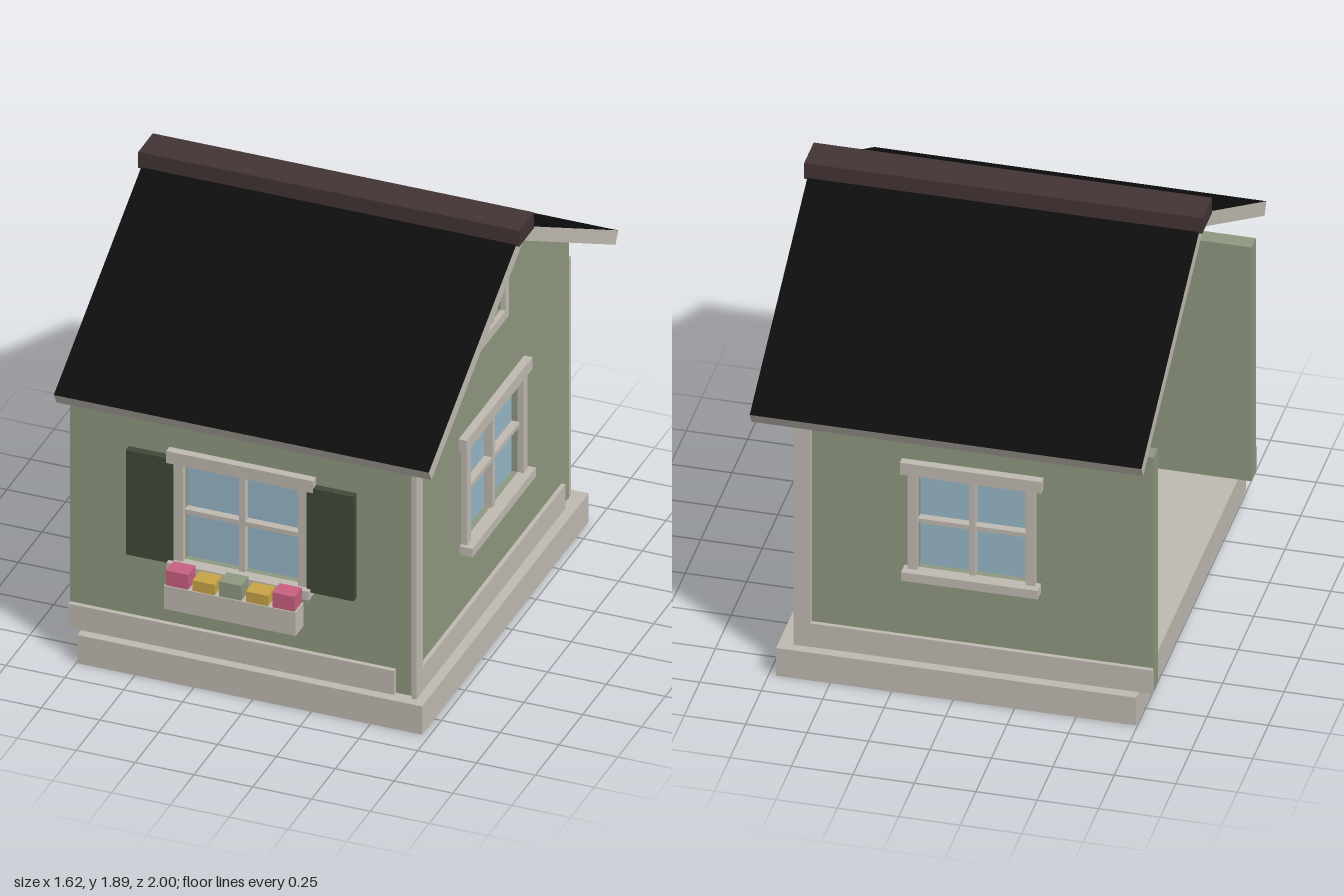
import * as THREE from 'three';

const mat = (name, color) => {
  const m = new THREE.MeshStandardMaterial({ color });
  m.name = name;
  return m;
};

export function createModel() {
  const wall = mat('sage wall', 0x8e9880);
  const trim = mat('cream trim', 0xc0bab1);
  const black = mat('black roofing', 0x0d0d0d);
  const brown = mat('brown ridge', 0x433434);
  const glass = mat('blue glass', 0x98b7c8);
  const shutterGreen = mat('dark green shutter', 0x414939);
  const pink = mat('pink flower', 0xc75f80);
  const yellow = mat('yellow flower', 0xc8a347);

  const house = new THREE.Group();
  house.name = 'openSidedHouse';

  // Box given by its limits on each axis
  function box(parent, name, material, x0, x1, y0, y1, z0, z1) {
    const mesh = new THREE.Mesh(new THREE.BoxGeometry(x1 - x0, y1 - y0, z1 - z0), material);
    mesh.position.set((x0 + x1) / 2, (y0 + y1) / 2, (z0 + z1) / 2);
    mesh.name = name;
    parent.add(mesh);
    return mesh;
  }

  // Group whose +z points out of a wall, with its outer face on z = 0
  function side(name, x, z, turn) {
    const g = new THREE.Group();
    g.name = name;
    g.position.set(x, 0, z);
    g.rotation.y = turn;
    house.add(g);
    return g;
  }

  // Wall panel with rectangular openings [x0, x1, y0, y1]
  function panel(parent, name, outline, openings) {
    const shape = new THREE.Shape(outline.map(([x, y]) => new THREE.Vector2(x, y)));
    for (const [x0, x1, y0, y1] of openings) {
      shape.holes.push(new THREE.Path([
        new THREE.Vector2(x0, y0), new THREE.Vector2(x0, y1),
        new THREE.Vector2(x1, y1), new THREE.Vector2(x1, y0)]));
    }
    const geo = new THREE.ExtrudeGeometry(shape, { depth: 0.07, bevelEnabled: false });
    geo.translate(0, 0, -0.07);
    const mesh = new THREE.Mesh(geo, wall);
    mesh.name = name;
    parent.add(mesh);
  }

  // Glass and crossed bars filling an opening
  function panes(parent, [x0, x1, y0, y1], bar) {
    const cx = (x0 + x1) / 2, cy = (y0 + y1) / 2;
    box(parent, 'windowGlass', glass, x0, x1, y0, y1, -0.034, -0.026);
    box(parent, 'windowUprightBar', trim, cx - bar / 2, cx + bar / 2, y0, y1, -0.026, 0.01);
    box(parent, 'windowCrossBar', trim, x0, x1, cy - 0.01, cy + 0.01, -0.026, 0.008);
  }

  // Large window with jambs, hood and sill
  function bigWindow(parent, opening) {
    const [x0, x1, y0, y1] = opening;
    panes(parent, opening, 0.025);
    box(parent, 'windowJamb', trim, x0 - 0.04, x0, y0, y1, 0, 0.025);
    box(parent, 'windowJamb', trim, x1, x1 + 0.04, y0, y1, 0, 0.025);
    box(parent, 'windowHood', trim, x0 - 0.068, x1 + 0.068, y1, y1 + 0.055, 0, 0.035);
    box(parent, 'windowSill', trim, x0 - 0.058, x1 + 0.058, y0 - 0.04, y0, 0, 0.055);
  }

  const rect = (x0, x1) => [[x0, 0.13], [x1, 0.13], [x1, 1.23], [x0, 1.23]];

  // Base slab and floor
  box(house, 'baseSlab', trim, -0.745, 0.72, 0, 0.13, -0.88, 0.88);

  // Front wall
  const front = side('frontWall', 0, 0.82, 0);
  const frontOpening = [-0.31, 0.178, 0.545, 0.99];
  panel(front, 'frontWallPanel', rect(-0.8, 0.59), [frontOpening]);
  bigWindow(front, frontOpening);
  box(front, 'frontSkirting', trim, -0.8, 0.585, 0.13, 0.24, 0, 0.02);
  box(front, 'shutter', shutterGreen, -0.55, -0.35, 0.53, 1.01, 0, 0.033);
  box(front, 'shutter', shutterGreen, 0.218, 0.418, 0.53, 1.01, 0, 0.033);

  // Flower box with five blocks of flowers
  box(front, 'flowerBox', trim, -0.345, 0.215, 0.385, 0.492, 0.055, 0.14);
  [pink, yellow, wall, yellow, pink].forEach((m, i) => {
    const cx = -0.291 + i * 0.113;
    box(front, 'flowerBlock', m, cx - 0.047, cx + 0.047, 0.492, m === yellow ? 0.54 : 0.56, 0.057, 0.135);
  });

  // Back wall
  const back = side('backWall', 0, -0.82, Math.PI);
  const backOpening = [-0.155, 0.285, 0.565, 1.01];
  panel(back, 'backWallPanel', rect(-0.59, 0.8), [backOpening]);
  bigWindow(back, backOpening);
  box(back, 'backCornerBoard', trim, -0.66, -0.59, 0.13, 1.23, 0, 0.02);
  box(back, 'backSkirting', trim, -0.59, 0.8, 0.13, 0.24, 0, 0.018);

  // Gable wall on the closed side
  const gable = side('gableWall', 0.66, 0, Math.PI / 2);
  const lower = [-0.278, 0.278, 0.55, 0.993];
  const upper = [-0.1, 0.1, 1.395, 1.603];
  panel(gable, 'gableWallPanel',
    [[-0.82, 0.13], [0.82, 0.13], [0.82, 1.325], [0, 1.798], [-0.82, 1.325]], [lower, upper]);
  bigWindow(gable, lower);
  panes(gable, upper, 0.02);
  box(gable, 'atticFrame', trim, -0.14, -0.1, 1.353, 1.643, 0, 0.02);
  box(gable, 'atticFrame', trim, 0.1, 0.14, 1.353, 1.643, 0, 0.02);
  box(gable, 'atticFrame', trim, -0.1, 0.1, 1.603, 1.643, 0, 0.02);
  box(gable, 'atticFrame', trim, -0.1, 0.1, 1.353, 1.395, 0, 0.02);
  box(gable, 'gableCornerBoard', trim, -0.84, -0.77, 0.13, 1.23, 0, 0.02);
  box(gable, 'gableSkirting', trim, -0.77, 0.74, 0.13, 0.24, 0, 0.018);

  // Two roof slopes: black above and below, cream edges
  for (const turn of [0, Math.PI]) {
    const half = new THREE.Group();
    half.name = 'roofHalf';
    half.rotation.y = turn;
    const slope = new THREE.Group();
    slope.position.y = 1.867;
    slope.rotation.x = Math.PI / 6;
    box(slope, 'roofSlope', [trim, trim, black, black, trim, trim], -0.797, 0.797, -0.058, 0, 0, 1.155);
    half.add(slope);
    house.add(half);
  }
  box(house, 'ridgeCap', brown, -0.81, 0.81, 1.817, 1.89, -0.077, 0.077);

  return house;
}
